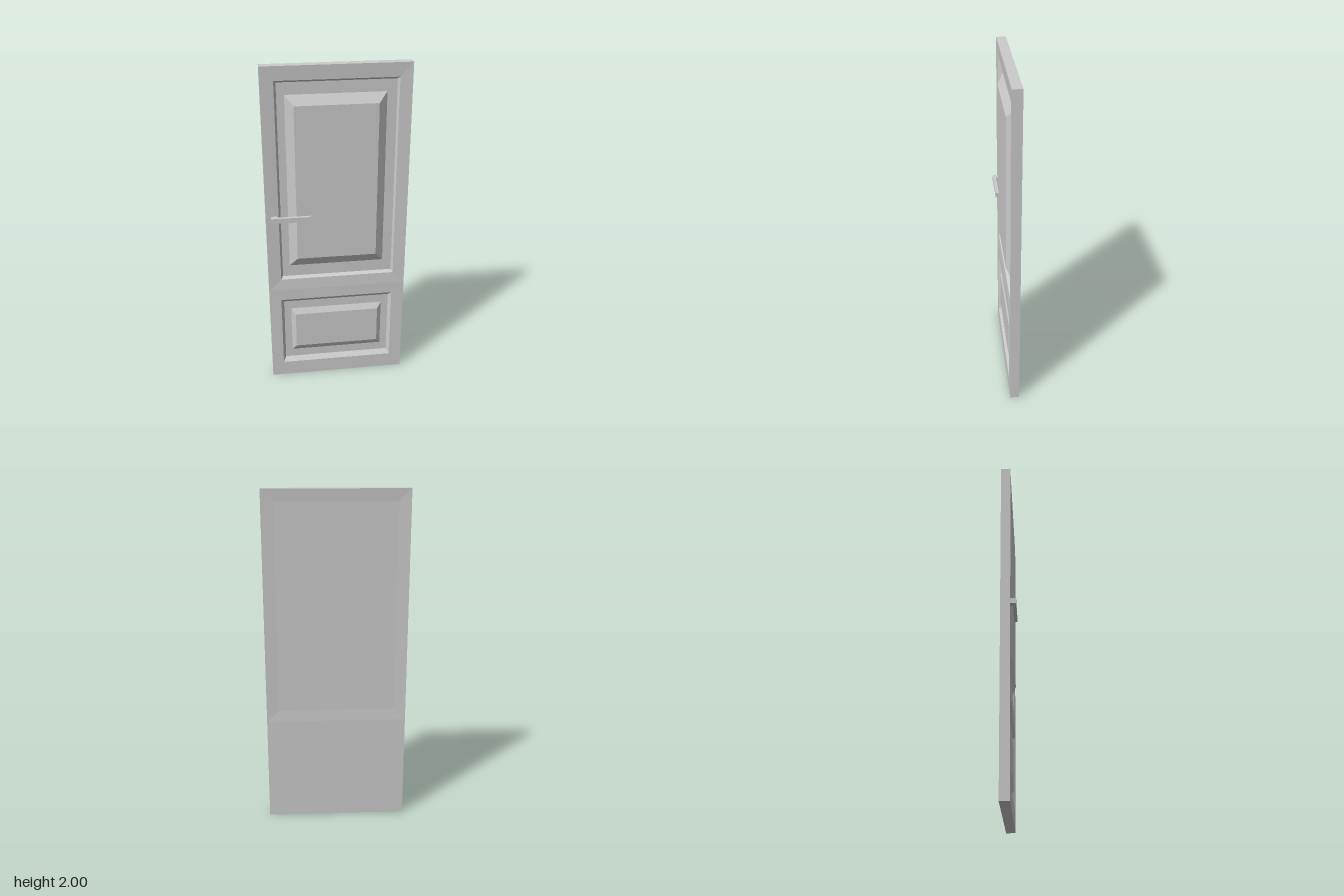
import * as THREE from 'three';

const W = 0.417, H = 2, RAIL = 0.633;      // half width, height, split between sections
const BACK = -0.0435, FRONT = 0.012;       // faces of the slab
const SLOPE = 0.004, FLOOR = -0.012;       // slight frame slope, panel recess floor

const material = new THREE.MeshStandardMaterial({ color: 0xcccccc, flatShading: true });

// Joins rectangular loops [x0, x1, y0, y1, z] with flat quads, optionally capping the last.
// Swapping x0 and x1 turns the faces towards -z.
function loft(name, loops, cap = true) {
  const corners = ([x0, x1, y0, y1, z]) => [[x0, y0, z], [x1, y0, z], [x1, y1, z], [x0, y1, z]];
  const pos = [];
  const quad = (a, b, c, d) => pos.push(...a, ...b, ...c, ...a, ...c, ...d);
  for (let i = 0; i < loops.length - 1; i++) {
    const a = corners(loops[i]), b = corners(loops[i + 1]);
    for (let k = 0; k < 4; k++) quad(a[k], a[(k + 1) % 4], b[(k + 1) % 4], b[k]);
  }
  if (cap) quad(...corners(loops[loops.length - 1]));
  const geometry = new THREE.BufferGeometry();
  geometry.setAttribute('position', new THREE.Float32BufferAttribute(pos, 3));
  geometry.computeVertexNormals();
  const mesh = new THREE.Mesh(geometry, material);
  mesh.name = name;
  return mesh;
}

function box(name, x0, x1, y0, y1, z0, z1) {
  const mesh = new THREE.Mesh(new THREE.BoxGeometry(x1 - x0, y1 - y0, z1 - z0), material);
  mesh.position.set((x0 + x1) / 2, (y0 + y1) / 2, (z0 + z1) / 2);
  mesh.name = name;
  return mesh;
}

export function createModel() {
  const door = new THREE.Group();
  door.name = 'door';

  // Outer edges of the slab
  door.add(loft('slabEdges', [[-W, W, 0, H, BACK], [-W, W, 0, H, FRONT]], false));

  // Front: frame, moulded recess and raised field of each panel
  door.add(loft('upperPanel', [
    [-W, W, RAIL, H, FRONT],
    [-0.342, 0.346, 0.705, 1.92, FRONT - SLOPE],
    [-0.329, 0.336, 0.718, 1.907, FLOOR],
    [-0.286, 0.281, 0.79, 1.838, FLOOR],
    [-0.239, 0.233, 0.849, 1.782, 0.021],
  ]));
  door.add(loft('lowerPanel', [
    [-W, W, 0, RAIL, FRONT],
    [-0.346, 0.342, 0.095, 0.563, FRONT],
    [-0.329, 0.324, 0.122, 0.537, FLOOR],
    [-0.286, 0.281, 0.175, 0.483, FLOOR],
    [-0.26, 0.255, 0.212, 0.447, 0.007],
  ]));

  // Back: very shallow upper recess above a plain lower face
  door.add(loft('upperBack', [
    [W, -W, RAIL, H, BACK],
    [0.345, -0.345, 0.7, 1.93, BACK + SLOPE],
  ]));
  door.add(loft('lowerBack', [[W, -W, 0, RAIL, BACK]]));

  // Lever handle on the front
  const handle = new THREE.Group();
  handle.name = 'handle';
  handle.add(box('handleStem', -0.386, -0.352, 1.1, 1.13, 0.008, 0.0245));
  handle.add(box('handleLever', -0.386, -0.156, 1.1, 1.13, 0.0245, 0.0435));
  door.add(handle);

  return door;
}
